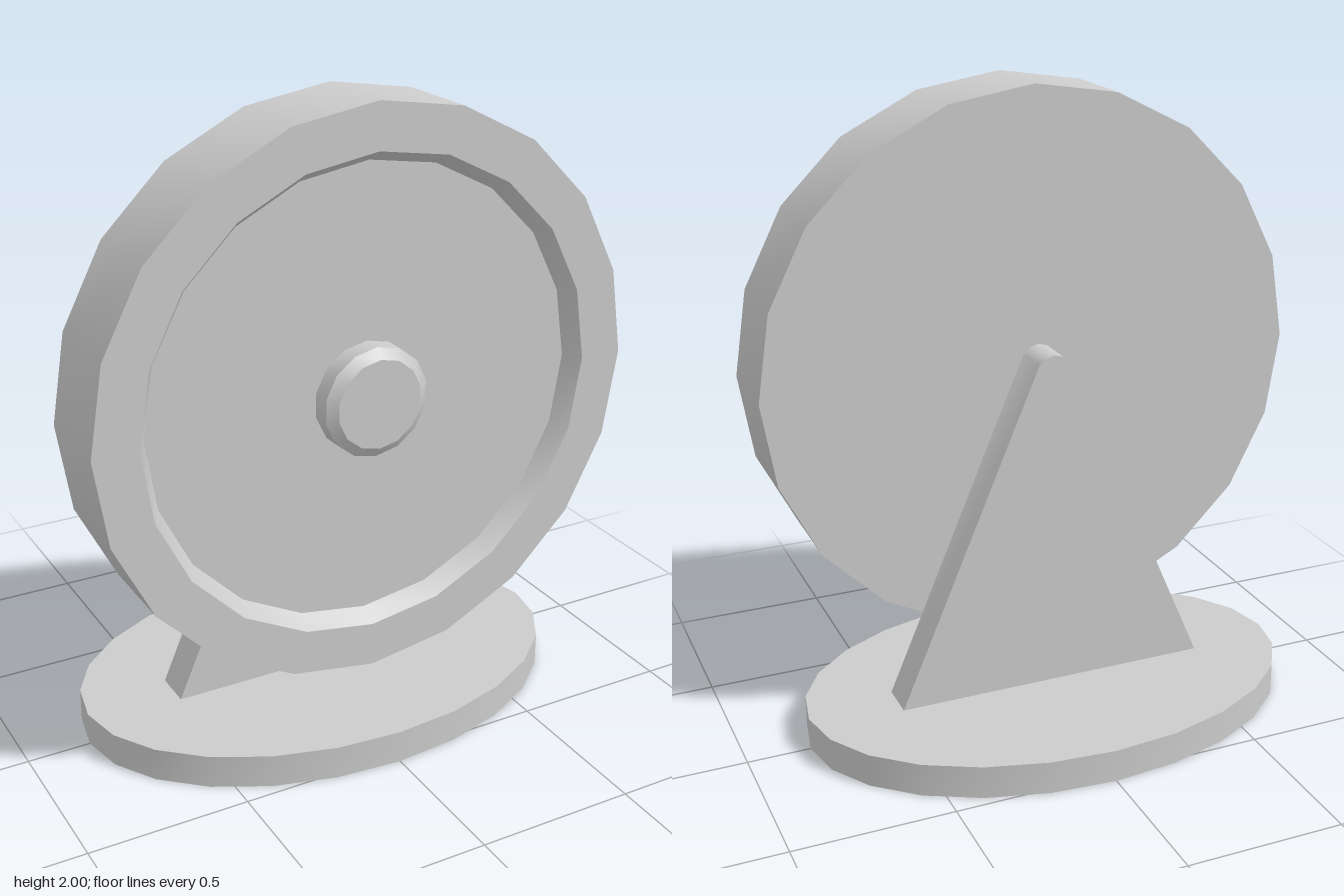
import * as THREE from 'three';
import { toCreasedNormals } from 'three/addons/utils/BufferGeometryUtils.js';

const AXLE_Y = 1.125;

export function createModel() {
  const model = new THREE.Group();
  model.name = 'wheelOnStand';
  const material = new THREE.MeshStandardMaterial({ color: 0xcccccc });

  const add = (name, geometry, y = 0) => {
    const mesh = new THREE.Mesh(toCreasedNormals(geometry, 0.6), material);
    mesh.name = name;
    mesh.position.y = y;
    model.add(mesh);
  };

  // Turned part around the axle: profile of [radius, z], from back to front
  const turned = (profile, sides) =>
    new THREE.LatheGeometry(profile.map(([r, z]) => new THREE.Vector2(r, z)), sides)
      .rotateX(Math.PI / 2);

  // Oval foot plate
  add('base', new THREE.CylinderGeometry(1, 1, 0.105, 24).scale(0.8, 1, 0.54), 0.0525);

  // Triangular upright with a small rounded peak
  const outline = new THREE.Shape([
    [-0.515, 0.1], [0.515, 0.1],
    [0.05, 1.182], [0.028, 1.2], [0, 1.208], [-0.028, 1.2], [-0.05, 1.182],
  ].map(([x, y]) => new THREE.Vector2(x, y)));
  add('upright', new THREE.ExtrudeGeometry(outline, { depth: 0.125, bevelEnabled: false })
    .translate(0, 0, -0.067));

  // Short axle between upright and wheel
  add('axle', turned([[0, 0], [0.055, 0], [0.055, 0.1], [0, 0.1]], 12), AXLE_Y);

  // Solid wheel with a shallow, tapered recess in the front
  add('wheel', turned([
    [0, 0.081], [0.875, 0.081], [0.875, 0.363],
    [0.735, 0.363], [0.7, 0.307], [0, 0.307],
  ], 20), AXLE_Y);

  // Chamfered hub cap
  add('hubCap', turned([
    [0, 0.3], [0.17, 0.3], [0.17, 0.367], [0.138, 0.389], [0, 0.389],
  ], 14), AXLE_Y);

  return model;
}
